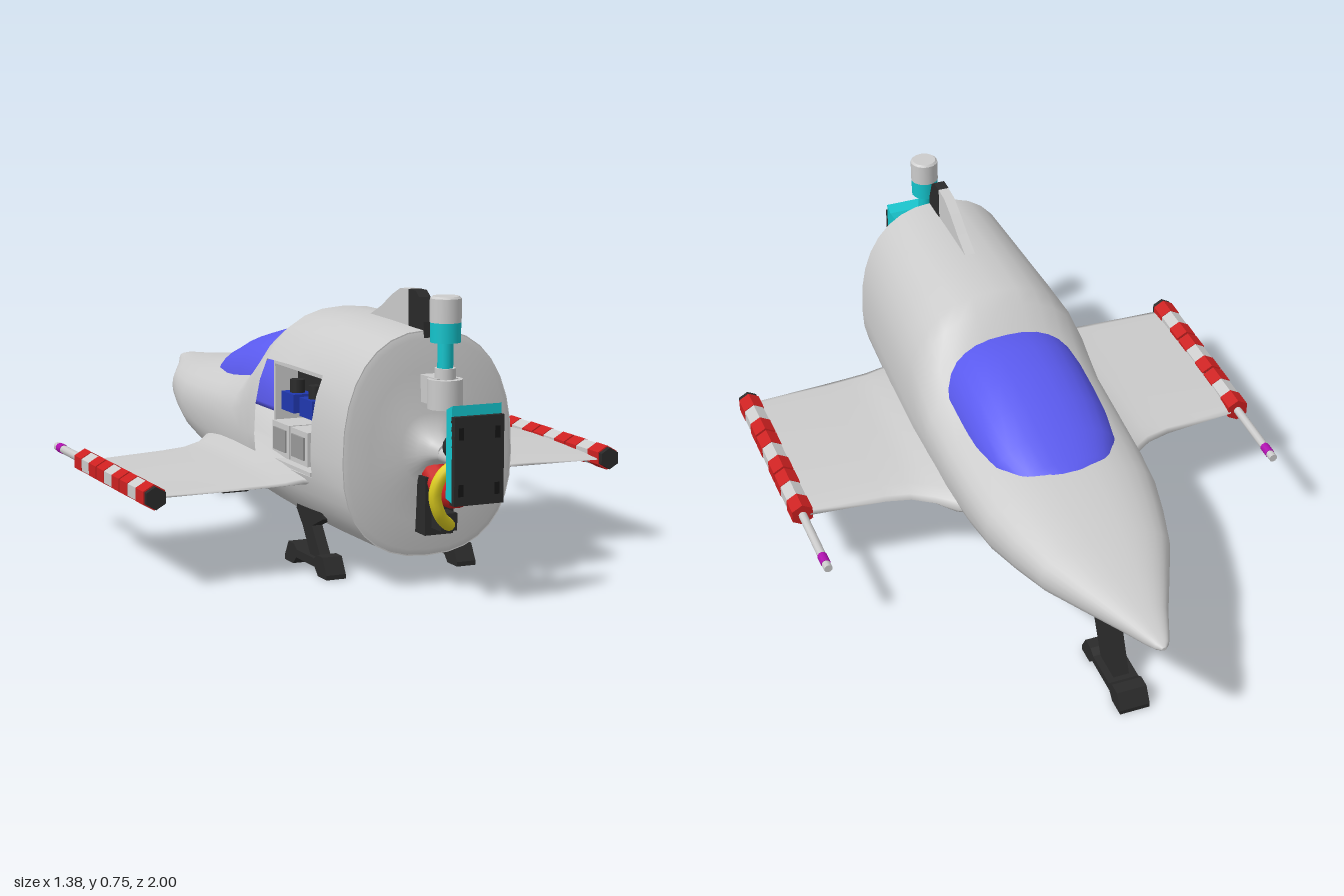
import * as THREE from 'three';

const GREY = 0xcccccc, DARK = 0x2a2a2a, RED = 0xcc2020, CYAN = 0x14c4cc, BLUE = 0x5a5aee,
  YELLOW = 0xe0d020, MAGENTA = 0xb010b0, NAVY = 0x2038b0;
const N = 32;

export function createModel() {
  const root = new THREE.Group();

  const add = (name, geo, color = GREY, pos = [0, 0, 0], opts = {}) => {
    const mesh = new THREE.Mesh(geo, new THREE.MeshStandardMaterial({ color, ...opts }));
    mesh.name = name;
    mesh.position.set(...pos);
    root.add(mesh);
    return mesh;
  };
  const box = (name, w, h, d, color, pos) => add(name, new THREE.BoxGeometry(w, h, d), color, pos);
  const rod = (name, r, len, color, pos, alongZ = false, sides = 16, r2 = r) => {
    const g = new THREE.CylinderGeometry(r2, r, len, sides);
    if (alongZ) g.rotateX(Math.PI / 2);
    return add(name, g, color, pos, { flatShading: sides < 8 });
  };
  // Plate drawn as [z, y] points and extruded across x
  const plate = (name, pts, width, color, x = 0, dz = 0) => {
    const g = new THREE.ExtrudeGeometry(new THREE.Shape(pts.map(p => new THREE.Vector2(...p))),
      { depth: width, bevelEnabled: false });
    g.translate(0, 0, -width / 2).rotateY(-Math.PI / 2);
    return add(name, g, color, [x, 0, dz]);
  };
  const hose = (name, pts, r, color) => add(name, new THREE.TubeGeometry(
    new THREE.CatmullRomCurve3(pts.map(p => new THREE.Vector3(...p))), 24, r, 10), color);

  // Skin over closed rings, with end caps; skip() leaves openings
  const loft = (rings, skip = () => false) => {
    const n = rings[0].length, pos = rings.flat(2), idx = [];
    for (let i = 0; i < rings.length - 1; i++) {
      for (let j = 0; j < n; j++) {
        if (skip(i, j)) continue;
        const a = i * n + j, b = i * n + (j + 1) % n;
        idx.push(a, a + n, b, b, a + n, b + n);
      }
    }
    [rings[0], rings[rings.length - 1]].forEach((ring, end) => {
      const base = pos.length / 3;
      ring.forEach(p => pos.push(...p));
      for (let j = 1; j < n - 1; j++) {
        idx.push(base, base + (end ? j + 1 : j), base + (end ? j : j + 1));
      }
    });
    const g = new THREE.BufferGeometry();
    g.setAttribute('position', new THREE.Float32BufferAttribute(pos, 3));
    g.setIndex(idx);
    g.computeVertexNormals();
    return g;
  };
  const soft = v => Math.sign(v) * Math.abs(v) ** 0.85;
  // Rounded section: half width w, widest at yc, from bottom to top
  const section = ([z, w, yc, top, bottom]) => Array.from({ length: N }, (_, j) => {
    const t = j / N * Math.PI * 2, s = soft(Math.sin(t));
    return [w * soft(Math.cos(t)), yc + s * (s > 0 ? top - yc : yc - bottom), z];
  });

  // Hull, from the blunt engine end to the nose, with a bay opening on one side
  const hull = [
    [0.725, 0.24, 0.33, 0.66, 0.077], [0.55, 0.25, 0.33, 0.665, 0.08], [0.38, 0.26, 0.33, 0.668, 0.086],
    [0.22, 0.268, 0.33, 0.665, 0.1], [0.175, 0.27, 0.33, 0.64, 0.103], [0.12, 0.27, 0.33, 0.575, 0.108],
    [0.05, 0.27, 0.33, 0.505, 0.115], [-0.1, 0.267, 0.33, 0.48, 0.13], [-0.25, 0.26, 0.33, 0.468, 0.155],
    [-0.38, 0.248, 0.33, 0.457, 0.187], [-0.5, 0.22, 0.335, 0.44, 0.217], [-0.62, 0.185, 0.34, 0.425, 0.248],
    [-0.75, 0.125, 0.35, 0.408, 0.282], [-0.87, 0.069, 0.357, 0.394, 0.315], [-0.95, 0.036, 0.364, 0.386, 0.338],
    [-0.985, 0.02, 0.366, 0.379, 0.352], [-1, 0.006, 0.366, 0.371, 0.362]];
  add('hull', loft(hull.map(section), (i, j) => i >= 1 && i <= 2 && j >= 13 && j <= 16),
    GREY, [0, 0, 0], { side: THREE.DoubleSide });
  add('rearBulkhead', loft([
    [0.82, 0.02, 0.36, 0.38, 0.34], [0.79, 0.03, 0.36, 0.39, 0.33], [0.765, 0.05, 0.36, 0.41, 0.31],
    [0.745, 0.085, 0.36, 0.45, 0.27], [0.737, 0.17, 0.34, 0.56, 0.17], [0.73, 0.225, 0.33, 0.64, 0.095],
    [0.724, 0.24, 0.33, 0.66, 0.077]].map(section)));
  add('canopy', loft([
    [0.21, 0.205, 0.4, 0.56, 0.36], [0.13, 0.206, 0.4, 0.578, 0.36], [0.04, 0.206, 0.4, 0.585, 0.36],
    [-0.06, 0.202, 0.4, 0.573, 0.36], [-0.16, 0.197, 0.4, 0.547, 0.36], [-0.26, 0.182, 0.4, 0.509, 0.36],
    [-0.34, 0.145, 0.4, 0.473, 0.36], [-0.38, 0.075, 0.4, 0.452, 0.36]].map(section)), BLUE);

  // Dorsal fin
  plate('dorsalFin', [[0.64, 0.64], [0.64, 0.755], [0.59, 0.752], [0.54, 0.73], [0.48, 0.695], [0.4, 0.66]], 0.03, GREY);
  plate('finExhaust', [[0.73, 0.64], [0.725, 0.68], [0.7, 0.74], [0.68, 0.755], [0.64, 0.755], [0.64, 0.64]], 0.032, DARK);

  // Equipment bay behind the opening
  box('bayBackWall', 0.01, 0.26, 0.33, GREY, [-0.12, 0.4, 0.385]);
  box('bayFloor', 0.13, 0.01, 0.33, GREY, [-0.185, 0.275, 0.385]);
  box('bayCeiling', 0.09, 0.01, 0.33, GREY, [-0.165, 0.525, 0.385]);
  for (const z of [0.225, 0.545]) box('bayEndWall', 0.09, 0.25, 0.01, GREY, [-0.165, 0.4, z]);
  box('bayDarkPanel', 0.02, 0.1, 0.3, DARK, [-0.135, 0.45, 0.385]);
  for (const z of [0.3, 0.42]) {
    box('bayDrawer', 0.09, 0.09, 0.11, GREY, [-0.18, 0.325, z]);
    box('drawerFace', 0.01, 0.06, 0.08, 0x999999, [-0.225, 0.325, z]);
    box('bayCanister', 0.06, 0.05, 0.08, NAVY, [-0.175, 0.425, z]);
    rod('canisterCap', 0.02, 0.04, DARK, [-0.175, 0.465, z]);
  }

  for (const s of [1, -1]) {
    // Wing: [x, leading z, trailing z, y, half thickness]
    const wing = [[0.18, -0.21, 0.53, 0.25, 0.05], [0.255, -0.18, 0.525, 0.25, 0.04], [0.3, -0.125, 0.52, 0.246, 0.026],
      [0.36, -0.082, 0.518, 0.244, 0.022], [0.43, -0.063, 0.515, 0.243, 0.02], [0.64, -0.04, 0.51, 0.24, 0.014]];
    add('wing', loft(wing.map(([x, lead, trail, y, th]) => Array.from({ length: 20 }, (_, j) => {
      const a = s * j / 20 * Math.PI * 2, c = Math.cos(a);
      return [s * x, y + th * Math.sin(a) * (1 - 0.45 * c), (lead + trail) / 2 + (trail - lead) / 2 * c];
    }))));

    // Wingtip cannon: three banded modules, a barrel and a rear cap
    const x = s * 0.662, y = 0.243;
    rod('cannonCore', 0.026, 0.55, DARK, [x, y, 0.24], true, 6);
    for (let k = 0; k < 3; k++) {
      const z = 0.052 + k * 0.184;
      rod('whiteBand', 0.032, 0.07, GREY, [x, y, z], true, 6);
      for (const e of [-1, 1]) rod('redBand', 0.034, 0.056, RED, [x, y, z + e * 0.06], true, 6);
    }
    rod('cannonRearCap', 0.03, 0.016, DARK, [x, y, 0.515], true, 6);
    rod('barrel', 0.012, 0.25, GREY, [x, y, -0.15], true, 10);
    rod('barrelRing', 0.0135, 0.035, MAGENTA, [x, y, -0.235], true, 10);
  }

  // Landing gear: two rear legs and one under the nose
  const foot = [[-0.135, 0], [-0.135, 0.012], [-0.11, 0.055], [-0.075, 0.055], [-0.055, 0.042], [0.055, 0.042],
    [0.075, 0.055], [0.11, 0.055], [0.135, 0.012], [0.135, 0], [0.08, 0], [0.06, 0.02], [-0.06, 0.02], [-0.08, 0]];
  for (const x of [-0.19, 0.19]) {
    plate('rearFoot', foot, 0.055, DARK, x, 0.445);
    plate('rearLeg', [[0.52, 0.04], [0.45, 0.04], [0.4, 0.11], [0.36, 0.15], [0.38, 0.2], [0.5, 0.2], [0.53, 0.15], [0.46, 0.12]],
      0.03, DARK, x);
  }
  plate('noseFoot', foot, 0.085, DARK, 0, -0.705);
  plate('noseLeg', [[-0.655, 0.04], [-0.745, 0.04], [-0.675, 0.2], [-0.71, 0.25], [-0.69, 0.28], [-0.54, 0.25], [-0.5, 0.225], [-0.575, 0.2]],
    0.045, DARK);

  // Sensor mast on the rear face
  box('mastBracket', 0.06, 0.07, 0.12, GREY, [0, 0.515, 0.77]);
  rod('mastBase', 0.045, 0.075, GREY, [0, 0.51, 0.815]);
  rod('mastCollar', 0.027, 0.03, GREY, [0, 0.56, 0.815]);
  rod('mastTube', 0.02, 0.09, CYAN, [0, 0.605, 0.815]);
  rod('mastRing', 0.039, 0.05, CYAN, [0, 0.665, 0.815]);
  rod('mastHead', 0.04, 0.06, GREY, [0, 0.72, 0.815]);
  rod('mastHeadTop', 0.04, 0.006, GREY, [0, 0.752, 0.815], false, 16, 0.034);

  // Thruster panel on its arm
  rod('thrusterArm', 0.02, 0.16, GREY, [0, 0.355, 0.86], true);
  rod('armJoint', 0.032, 0.05, DARK, [0, 0.385, 0.89], true);
  const rect = (z, w, y0, y1) => [[w, y0, z], [w, y1, z], [-w, y1, z], [-w, y0, z]];
  add('thrusterShell', loft([rect(0.985, 0.068, 0.268, 0.508), rect(0.955, 0.068, 0.275, 0.495),
    rect(0.915, 0.035, 0.31, 0.44)]), CYAN, [0, 0, 0], { flatShading: true });
  box('thrusterFace', 0.136, 0.22, 0.025, DARK, [0, 0.372, 0.987]);
  for (const x of [-0.05, 0.05]) for (const y of [0.3, 0.44]) box('faceBolt', 0.014, 0.03, 0.006, 0x151515, [x, y, 0.997]);

  // Hose manifold, hoses and vent
  box('manifold', 0.08, 0.15, 0.06, DARK, [0, 0.22, 0.76]);
  box('hoseSocket', 0.045, 0.045, 0.06, DARK, [0, 0.187, 0.815]);
  hose('redHose', [[0, 0.3, 0.76], [0, 0.265, 0.82], [0, 0.265, 0.88], [0, 0.3, 0.92], [0, 0.34, 0.94]], 0.035, RED);
  hose('yellowHose', [[0, 0.187, 0.82], [-0.02, 0.19, 0.88], [-0.065, 0.225, 0.92], [-0.085, 0.28, 0.93],
    [-0.07, 0.33, 0.94], [-0.03, 0.36, 0.945]], 0.016, YELLOW);
  box('ventPanel', 0.072, 0.054, 0.03, GREY, [0.115, 0.317, 0.735]);

  return root;
}
